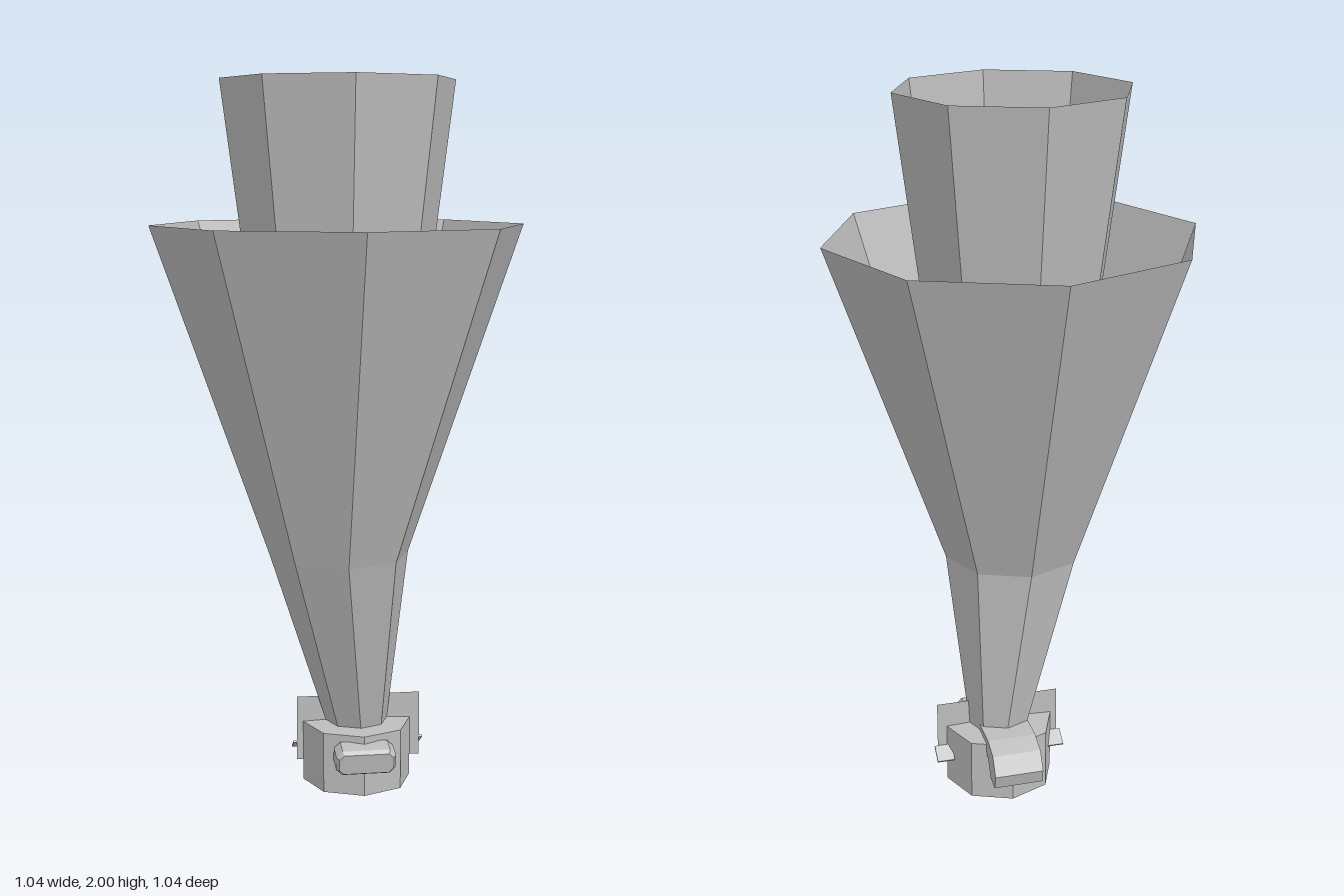
import * as THREE from 'three';

const grey = new THREE.MeshStandardMaterial({ color: 0xbcbcbc, flatShading: true, side: THREE.DoubleSide });
grey.name = 'plain grey';

// Centre of the collar, which sits off the axis of the funnels
const CX = 0.06, CZ = -0.057;

// Open eight-sided shell through rings of [centre x, y, centre z, radius]
function shell(rings) {
  const pos = [], index = [];
  rings.forEach(([cx, y, cz, r]) => {
    for (let i = 0; i < 8; i++) {
      const a = i * Math.PI / 4;
      pos.push(cx + r * Math.sin(a), y, cz + r * Math.cos(a));
    }
  });
  for (let k = 0; k < rings.length - 1; k++) {
    for (let i = 0; i < 8; i++) {
      const a = k * 8 + i, b = k * 8 + (i + 1) % 8;
      index.push(a, b, b + 8, a, b + 8, a + 8);
    }
  }
  const g = new THREE.BufferGeometry();
  g.setAttribute('position', new THREE.Float32BufferAttribute(pos, 3));
  g.setIndex(index);
  const flat = g.toNonIndexed();
  flat.computeVertexNormals();
  return flat;
}

const outline = points => new THREE.Shape(points.map(p => new THREE.Vector2(p[0], p[1])));

export function createModel() {
  const group = new THREE.Group();
  const add = (name, geometry) => {
    const mesh = new THREE.Mesh(geometry, grey);
    mesh.name = name;
    group.add(mesh);
    return mesh;
  };

  // Wide funnel and the taller, narrower one inside it
  add('outerFunnel', shell([
    [CX, 0.17, CZ, 0.088],
    [0, 0.69, 0.007, 0.197],
    [0, 1.61, 0, 0.518],
  ]));
  add('innerFunnel', shell([
    [CX, 0.18, CZ, 0.076],
    [0, 0.97, 0.014, 0.19],
    [0, 2, -0.005, 0.323],
  ]));

  // Octagonal collar, open below, closing in on the funnel above
  add('collar', shell([
    [CX, 0, CZ, 0.157],
    [CX, 0.175, CZ, 0.157],
    [CX, 0.178, CZ, 0.085],
  ]));

  // Bevelled clasp on the front of the collar
  const w = 0.077, h = 0.029, c = 0.013;
  const clasp = add('frontClasp', new THREE.ExtrudeGeometry(outline([
    [-w + c, -h], [w - c, -h], [w, -h + c], [w, h - c],
    [w - c, h], [-w + c, h], [-w, h - c], [-w, -h + c],
  ]), { depth: 0.055, bevelEnabled: true, bevelThickness: 0.012, bevelSize: 0.008, bevelSegments: 1 }));
  clasp.position.set(CX, 0.12, 0.075);
  clasp.rotation.x = 0.15;

  // Hook that reaches from the mouth of the funnel over the back of the collar
  const width = 0.14;
  const hook = new THREE.ExtrudeGeometry(outline([
    [0, 0.12], [0.045, 0.175], [0.09, 0.195], [0.2, 0.195], [0.255, 0.175],
    [0.285, 0.125], [0.275, 0.085], [0.23, 0.09], [0.2, 0.14], [0.06, 0.14],
  ]), { depth: width, bevelEnabled: false });
  hook.rotateY(Math.PI / 2);
  add('backHook', hook).position.x = CX - width / 2;

  // Thin upright plate across the collar, with a small tab at each end
  add('crossPlate', new THREE.PlaneGeometry(0.36, 0.19)).position.set(0.065, 0.155, CZ);
  for (const side of [-1, 1]) {
    const tab = add(side > 0 ? 'leftTab' : 'rightTab', new THREE.BoxGeometry(0.05, 0.006, 0.05));
    tab.position.set(0.065 + side * 0.165, 0.1, -0.08);
    tab.rotation.x = -0.6;
  }
  return group;
}
